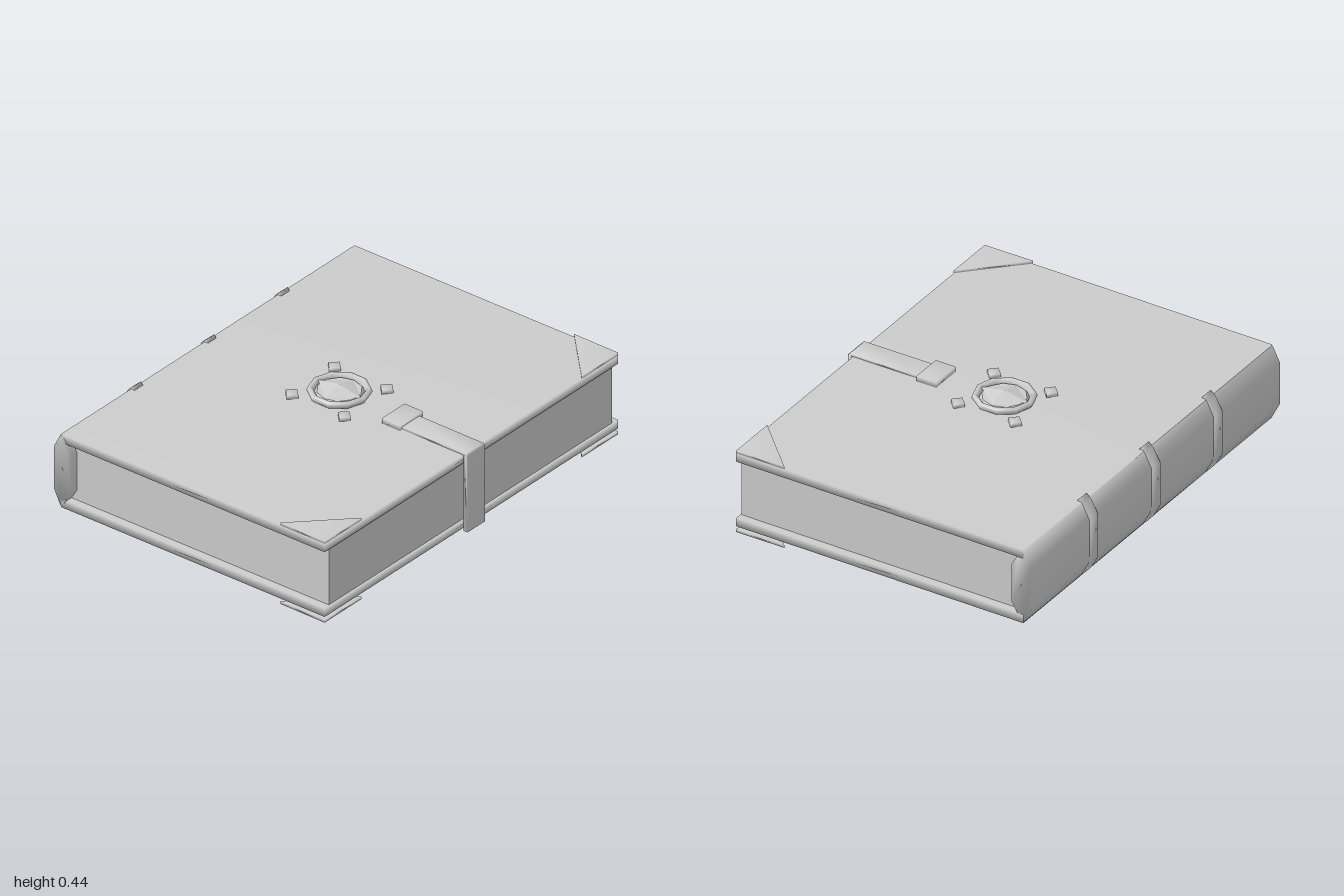
import * as THREE from 'three';
import { mergeVertices } from 'three/addons/utils/BufferGeometryUtils.js';

// Share corners so the shading runs softly over the edges
function soften(geometry) {
  geometry.deleteAttribute('normal');
  geometry.deleteAttribute('uv');
  const merged = mergeVertices(geometry, 1e-4);
  merged.clearGroups();
  merged.computeVertexNormals();
  return merged;
}

export function createModel() {
  const book = new THREE.Group();
  book.name = 'book';
  const grey = new THREE.MeshStandardMaterial({ color: 0xcccccc });
  grey.name = 'grey';

  function add(name, geometry, x = 0, y = 0, z = 0) {
    const mesh = new THREE.Mesh(geometry, grey);
    mesh.name = name;
    mesh.position.set(x, y, z);
    book.add(mesh);
    return mesh;
  }
  const box = (w, h, d) => new THREE.BoxGeometry(w, h, d);
  const softBox = (w, h, d) => soften(box(w, h, d));

  // Outline of [a, b] points pushed out by a depth
  function prism(points, depth) {
    const shape = new THREE.Shape(points.map(([a, b]) => new THREE.Vector2(a, b)));
    return new THREE.ExtrudeGeometry(shape, { depth, bevelEnabled: false });
  }

  // Pages and the two slightly tilted covers
  add('pages', box(1.43, 0.31, 1.93), 0.02, 0.21, 0);
  add('topCover', softBox(1.46, 0.042, 2), 0.01, 0.371, 0).rotation.z = 0.007;
  add('bottomCover', softBox(1.46, 0.042, 2), 0.01, 0.045, 0).rotation.z = 0.007;

  // Rounded spine
  const spine = [[-0.76, 0.1], [-0.76, 0.31], [-0.722, 0.383], [-0.7, 0.365], [-0.66, 0.3],
    [-0.66, 0.11], [-0.7, 0.045], [-0.722, 0.025]];
  add('spine', soften(prism(spine, 2)), 0, 0, -1);

  // Raised bands wrapped round the spine
  const band = [[-0.77, 0.1], [-0.77, 0.315], [-0.735, 0.38], [-0.71, 0.402], [-0.7, 0.39],
    [-0.7, 0.025], [-0.71, 0.014], [-0.735, 0.035]];
  for (const z of [-0.505, -0.005, 0.495]) {
    add('spineBand', soften(prism(band, 0.055)), 0, 0, z - 0.0275);
  }

  // Triangular corner guards above and below
  for (const s of [-1, 1]) {
    for (const y of [0.396, 0]) {
      const guard = prism([[0.74, s], [0.74, s * 0.75], [0.495, s]], 0.014);
      guard.rotateX(-Math.PI / 2);
      add('cornerGuard', soften(guard), 0, y, 0);
    }
  }

  // Medallion: faceted ring, inner plate and gem
  const cx = 0.005, cz = -0.005;
  const ring = new THREE.LatheGeometry([[0.112, 0.392], [0.13, 0.392], [0.143, 0.408], [0.138, 0.422],
    [0.122, 0.425], [0.112, 0.412], [0.112, 0.392]].map(([r, y]) => new THREE.Vector2(r, y)), 10);
  ring.rotateY(Math.PI / 10);
  add('medallionRing', ring, cx, 0, cz);
  const plate = new THREE.CylinderGeometry(0.1, 0.118, 0.024, 10);
  add('medallionPlate', plate, cx, 0.402, cz);
  const gem = new THREE.OctahedronGeometry(1);
  gem.scale(0.12, 0.024, 0.095);
  add('gem', gem, cx, 0.416, cz);

  // Diamond studs round the medallion
  for (const sx of [-1, 1]) {
    for (const sz of [-1, 1]) {
      const stud = add('stud', softBox(0.05, 0.02, 0.05), cx + sx * 0.145, 0.402, cz + sz * 0.145);
      stud.rotation.y = Math.PI / 4;
    }
  }

  // Strap bent over the fore edge, with its clasp pad
  const strap = [[0.36, 0.392], [0.743, 0.392], [0.743, 0.016], [0.765, 0.016],
    [0.765, 0.4], [0.755, 0.408], [0.36, 0.408]];
  add('strap', soften(prism(strap, 0.118)), 0, 0, -0.061);
  add('claspPad', softBox(0.1, 0.03, 0.155), 0.353, 0.406, -0.005);

  return book;
}
